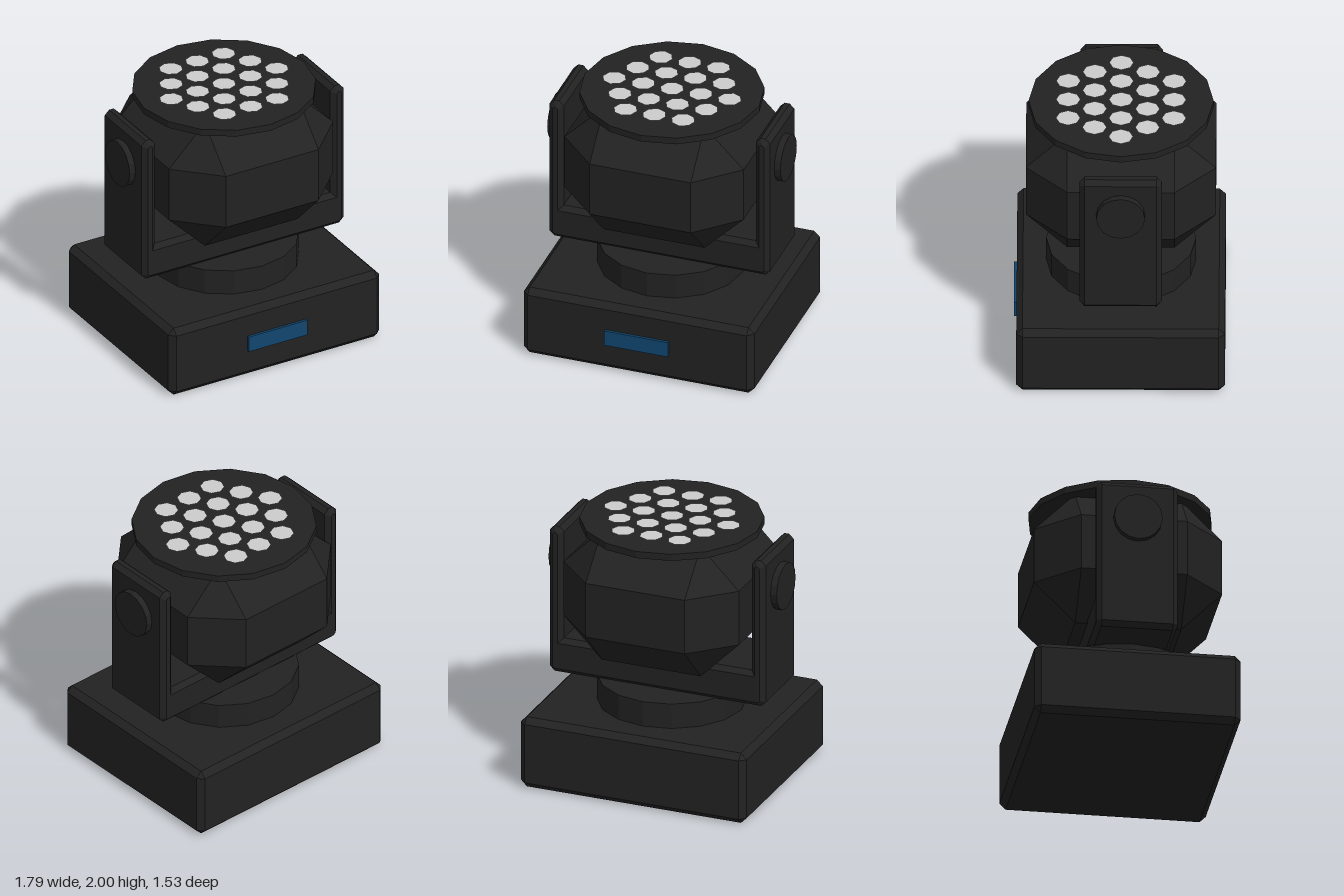
import * as THREE from 'three';
import { ConvexGeometry } from 'three/addons/geometries/ConvexGeometry.js';

// Box with every edge cut by c, so each corner becomes a small triangle
function chamferBox(w, h, d, c) {
  const pts = [];
  for (const sx of [-1, 1]) for (const sy of [-1, 1]) for (const sz of [-1, 1]) {
    const x = sx * w / 2, y = sy * h / 2, z = sz * d / 2;
    pts.push(
      new THREE.Vector3(x, y - sy * c, z - sz * c),
      new THREE.Vector3(x - sx * c, y, z - sz * c),
      new THREE.Vector3(x - sx * c, y - sy * c, z));
  }
  return new ConvexGeometry(pts);
}

// Faceted cylinder
function facetCylinder(r, h, sides) {
  const g = new THREE.CylinderGeometry(r, r, h, sides).toNonIndexed();
  g.computeVertexNormals();
  return g;
}

export function createModel() {
  const model = new THREE.Group();
  model.name = 'movingHeadLight';

  const black = new THREE.MeshStandardMaterial({ color: 0x222222 });
  black.name = 'black housing';
  const blue = new THREE.MeshStandardMaterial({ color: 0x10456f });
  blue.name = 'blue display';
  const white = new THREE.MeshStandardMaterial({ color: 0xcccccc });
  white.name = 'pale lens';

  const Z = -0.01; // common centre of the housing
  const add = (name, geometry, material, x, y, z, parent = model) => {
    const mesh = new THREE.Mesh(geometry, material);
    mesh.name = name;
    mesh.position.set(x, y, z);
    parent.add(mesh);
    return mesh;
  };

  // Base with display and turntable
  add('base', chamferBox(1.77, 0.552, 1.51, 0.045), black, 0, 0.276, Z);
  add('display', new THREE.BoxGeometry(0.49, 0.122, 0.03), blue, 0, 0.277, 0.75);
  add('turntable', facetCylinder(0.543, 0.2, 16), black, 0, 0.645, Z);

  // U-shaped yoke, bevelled all round
  const out = 0.847, inn = 0.737, low = 0.737, bar = 1.01, top = 1.885, b = 0.036;
  const half = [[out - b, low], [out, low + b], [out, top - b], [out - b, top],
    [inn + b, top], [inn, top - b], [inn, bar]];
  const outline = [...half, ...half.slice().reverse().map(([x, y]) => [-x, y])];
  const yokeShape = new THREE.Shape(outline.map(([x, y]) => new THREE.Vector2(x, y)));
  const depth = 0.595;
  const yoke = new THREE.ExtrudeGeometry(yokeShape, {
    depth: depth - 2 * b, bevelEnabled: true, bevelSegments: 1,
    bevelThickness: b, bevelSize: b, bevelOffset: -b,
  });
  add('yoke', yoke, black, 0, 0, Z + b - depth / 2);

  // Tilt knobs on the outside of the arms
  for (const s of [-1, 1]) {
    const knob = add(s > 0 ? 'leftKnob' : 'rightKnob', facetCylinder(0.177, 0.07, 16), black, s * 0.86, 1.592, Z);
    knob.rotation.z = Math.PI / 2;
  }

  // Head with front plate
  add('head', chamferBox(1.376, 1.024, 1.376, 0.3), black, 0, 1.462, Z);
  add('frontPlate', facetCylinder(0.67, 0.052, 16), black, 0, 1.961, Z);

  // Lenses in a hexagonal pattern
  const lenses = new THREE.Group();
  lenses.name = 'lenses';
  model.add(lenses);
  const pitch = 0.221;
  const lens = new THREE.CircleGeometry(0.088, 8).rotateX(-Math.PI / 2);
  for (let row = -2; row <= 2; row++) {
    const count = 5 - Math.abs(row);
    for (let i = 0; i < count; i++) {
      add('lens', lens, white, (i - (count - 1) / 2) * pitch, 1.998, Z + row * pitch * 0.866, lenses);
    }
  }
  return model;
}
